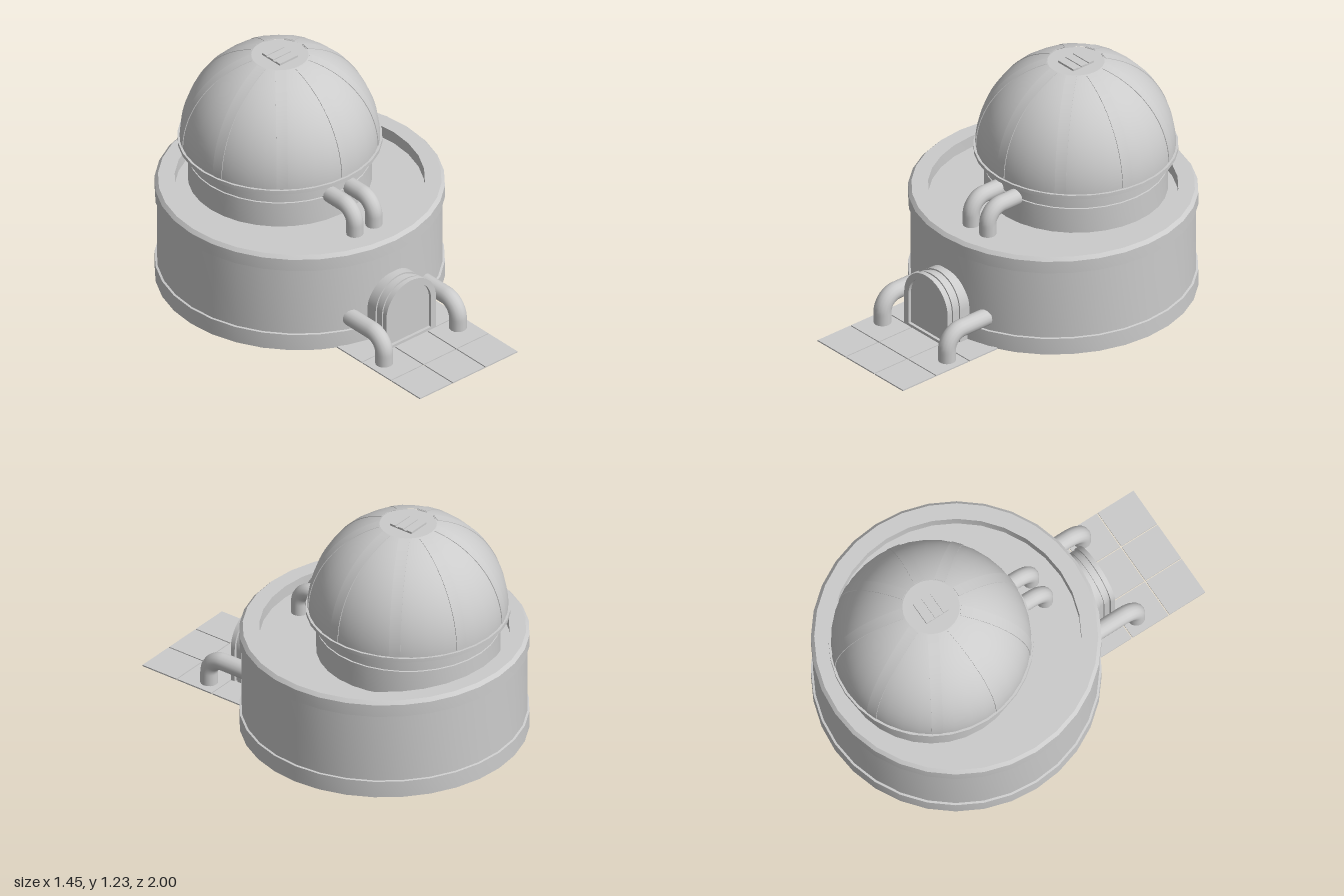
import * as THREE from 'three';
import { toCreasedNormals } from 'three/addons/utils/BufferGeometryUtils.js';

const BASE_Z = -0.275, DOME_Z = -0.425;
const material = new THREE.MeshStandardMaterial({ color: 0xcccccc });
const openMaterial = new THREE.MeshStandardMaterial({ color: 0xcccccc, side: THREE.DoubleSide });

function add(parent, name, geometry, x = 0, y = 0, z = 0, mat = material) {
  const mesh = new THREE.Mesh(geometry, mat);
  mesh.name = name;
  mesh.position.set(x, y, z);
  parent.add(mesh);
  return mesh;
}

// Solid of revolution from [radius, height] pairs, with crisp edges
function turned(points, sides = 32) {
  const profile = points.map(([r, y]) => new THREE.Vector2(r, y));
  return toCreasedNormals(new THREE.LatheGeometry(profile, sides), 0.5);
}

// Round-topped doorway outline
function arch(halfWidth, bottom, springY) {
  const s = new THREE.Shape();
  s.moveTo(-halfWidth, bottom);
  s.lineTo(halfWidth, bottom);
  s.lineTo(halfWidth, springY);
  s.absarc(0, springY, halfWidth, 0, Math.PI, false);
  s.closePath();
  return s;
}

function extrude(shape, depth) {
  const g = new THREE.ExtrudeGeometry(shape, { depth, bevelEnabled: false, curveSegments: 20 });
  return toCreasedNormals(g, 0.5);
}

// Pipe running forward from zBack, then bending down to yEnd
function elbowPipe(zBack, zFront, yTop, yEnd, radius, bend) {
  const v = (y, z) => new THREE.Vector3(0, y, z);
  const k = bend * 0.45;
  const path = new THREE.CurvePath();
  path.add(new THREE.LineCurve3(v(yTop, zBack), v(yTop, zFront - bend)));
  path.add(new THREE.CubicBezierCurve3(v(yTop, zFront - bend), v(yTop, zFront - k),
    v(yTop - k, zFront), v(yTop - bend, zFront)));
  path.add(new THREE.LineCurve3(v(yTop - bend, zFront), v(yEnd, zFront)));
  return new THREE.TubeGeometry(path, 32, radius, 16, false);
}

export function createModel() {
  const model = new THREE.Group();
  model.name = 'domedBuilding';

  // Round base with plinth band, top band and sunken roof deck
  add(model, 'base', turned([
    [0, 0.02], [0.725, 0.02], [0.725, 0.11], [0.714, 0.112], [0.714, 0.488], [0.725, 0.49],
    [0.725, 0.557], [0.708, 0.575], [0.625, 0.575], [0.625, 0.51], [0, 0.51],
  ]), 0, 0, BASE_Z);

  // Upper drum with a narrow seam
  add(model, 'drum', turned([
    [0.46, 0.5], [0.46, 0.647], [0.452, 0.648], [0.452, 0.654], [0.46, 0.655], [0.46, 0.74],
  ]), 0, 0, DOME_Z);

  // Dome
  const dome = new THREE.Group();
  dome.name = 'dome';
  dome.position.set(0, 0.755, DOME_Z);
  model.add(dome);
  add(dome, 'domeFlange', turned([[0, -0.02], [0.512, -0.02], [0.512, 0], [0, 0]]));
  add(dome, 'domeShell', new THREE.SphereGeometry(0.5, 36, 20, 0, Math.PI * 2, 0.29, Math.PI / 2 - 0.29));

  // Nine nearly flush ribs
  const start = 0.01, end = Math.PI / 2 - 0.3;
  const ribShape = new THREE.Shape();
  ribShape.absarc(0, 0, 0.5015, start, end, false);
  ribShape.absarc(0, 0, 0.47, end, start, true);
  ribShape.closePath();
  const ribGeometry = extrude(ribShape, 0.056);
  ribGeometry.translate(0, 0, -0.028);
  for (let i = 0; i < 9; i++) {
    const rib = add(dome, 'domeRib', ribGeometry);
    rib.rotation.y = -Math.PI / 2 + i * Math.PI * 2 / 9;
  }

  // Crown plate and slatted vent
  add(dome, 'crownPlate', turned([[0, 0.462], [0.153, 0.462], [0.153, 0.471], [0, 0.471]]));
  add(dome, 'ventBase', new THREE.BoxGeometry(0.12, 0.008, 0.135), 0, 0.473, 0);
  for (const z of [-0.051, 0, 0.051]) {
    add(dome, 'ventSlat', new THREE.BoxGeometry(0.12, 0.016, 0.033), 0, 0.474, z);
  }

  // Pipes, in mirrored pairs
  const roofPipe = elbowPipe(-0.02, 0.212, 0.652, 0.505, 0.043, 0.085);
  const groundPipe = elbowPipe(0.38, 0.64, 0.176, 0.003, 0.045, 0.09);
  for (const side of [-1, 1]) {
    add(model, 'roofPipe', roofPipe, side * 0.063, 0, 0, openMaterial);
    add(model, 'groundPipe', groundPipe, side * 0.245, 0, 0, openMaterial);
  }

  // Entrance: stepped tunnel, frame and recessed door
  const entrance = new THREE.Group();
  entrance.name = 'entrance';
  model.add(entrance);
  add(entrance, 'tunnel', extrude(arch(0.152, 0.022, 0.21), 0.15), 0, 0, 0.395);
  add(entrance, 'tunnelRing', extrude(arch(0.16, 0.022, 0.21), 0.085), 0, 0, 0.395);
  add(entrance, 'tunnelRing', extrude(arch(0.16, 0.022, 0.21), 0.022), 0, 0, 0.505);
  const frame = arch(0.165, 0.022, 0.21);
  frame.holes.push(arch(0.132, 0.042, 0.212));
  add(entrance, 'doorFrame', extrude(frame, 0.025), 0, 0, 0.541);
  add(entrance, 'door', extrude(arch(0.14, 0.03, 0.21), 0.007), 0, 0, 0.543);

  // Paved landing of thin slabs
  const pitch = 0.2175, gap = 0.006;
  for (let row = 0; row < 3; row++) {
    const front = 1 - row * 0.22;
    const depth = row === 2 ? 0.185 : 0.22 - gap;
    for (let col = -1; col <= 1; col++) {
      add(model, 'pavingSlab', new THREE.BoxGeometry(pitch - gap, 0.007, depth),
        col * pitch, 0.0235, front - depth / 2);
    }
  }
  return model;
}
